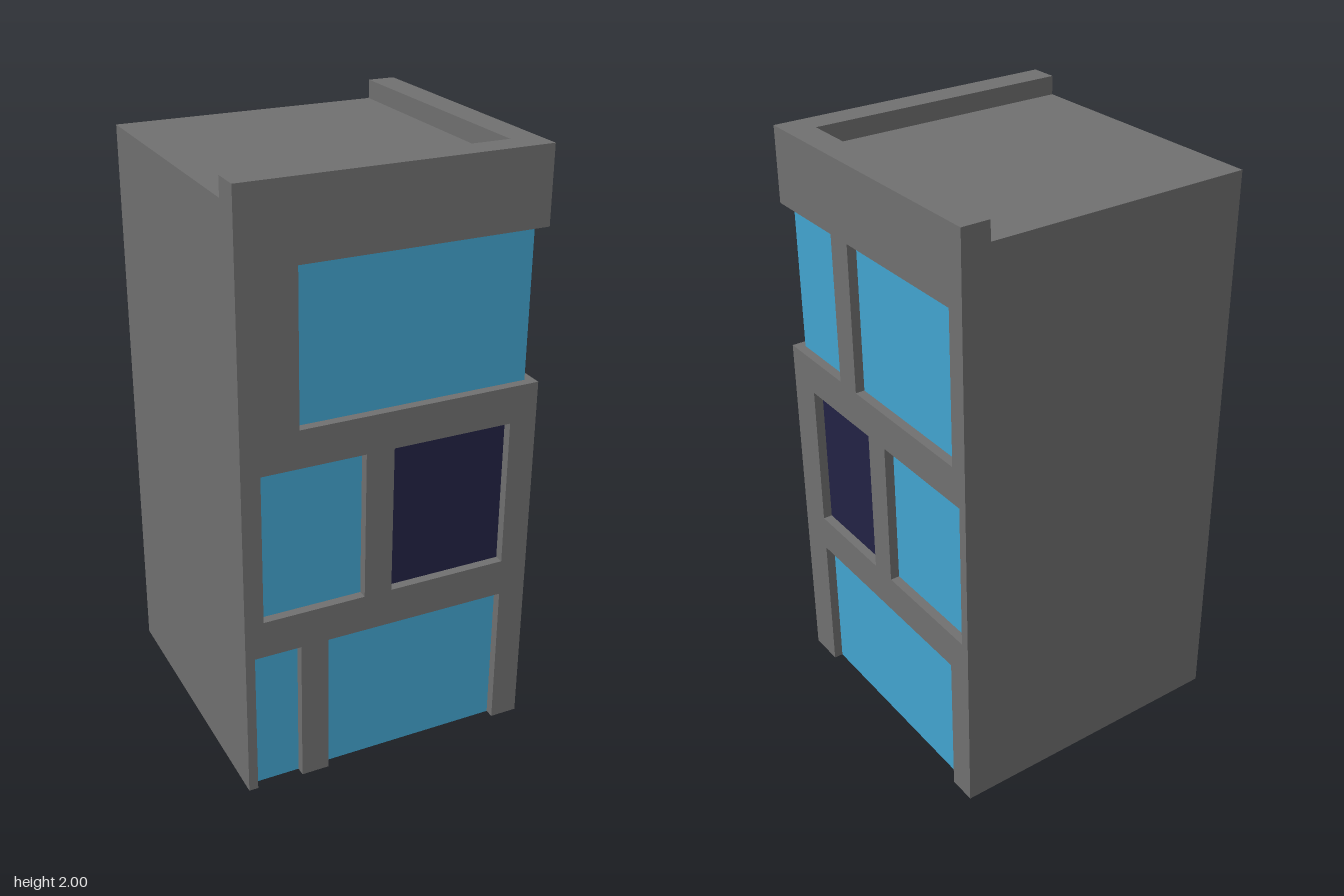
import * as THREE from 'three';

const material = (name, color) => {
  const m = new THREE.MeshStandardMaterial({ color });
  m.name = name;
  return m;
};

const IN = 0.455;    // inner plane of the facades
const GLASS = 0.469; // outer plane of the glazing
const OUT = 0.5;     // outer plane of the facades
const ROOF = 1.9375;

export function createModel() {
  const concrete = material('concrete grey', 0x707070);
  const blue = material('blue glass', 0x42a4cf);
  const dark = material('dark glass', 0x222244);
  const model = new THREE.Group();
  model.name = 'building';

  const box = (parent, name, mat, [x0, x1], [y0, y1], [z0, z1]) => {
    const mesh = new THREE.Mesh(new THREE.BoxGeometry(x1 - x0, y1 - y0, z1 - z0), mat);
    mesh.position.set((x0 + x1) / 2, (y0 + y1) / 2, (z0 + z1) / 2);
    mesh.name = name;
    parent.add(mesh);
  };

  // A facade: outline with open notches, holes for windows, panes set behind
  const facade = (name, outline, holes, panes) => {
    const group = new THREE.Group();
    group.name = name;
    const points = (list) => list.map(([x, y]) => new THREE.Vector2(x, y));
    const shape = new THREE.Shape(points(outline));
    for (const [a, b, y0, y1] of holes) {
      shape.holes.push(new THREE.Path(points([[a, y0], [a, y1], [b, y1], [b, y0]])));
    }
    const geo = new THREE.ExtrudeGeometry(shape, { depth: OUT - IN, bevelEnabled: false });
    geo.translate(0, 0, IN);
    const wall = new THREE.Mesh(geo, concrete);
    wall.name = name + 'Wall';
    group.add(wall);
    for (const [a, b, y0, y1, mat = blue] of panes) {
      box(group, 'windowPane', mat, [a, b], [y0, y1], [IN, GLASS]);
    }
    model.add(group);
    return group;
  };

  // Solid core with flat roof
  box(model, 'core', concrete, [-OUT, IN], [0, ROOF], [-OUT, IN]);

  // Front facade, open at the upper corner
  const frontHoles = [
    [-0.4375, -0.094, 0.625, 1.125],
    [0, 0.406, 0.625, 1.125, dark],
  ];
  facade('front', [
    [-OUT, 0], [-0.469, 0], [-0.469, 0.5], [-0.3125, 0.5], [-0.3125, 0],
    [-0.219, 0], [-0.219, 0.5], [0.406, 0.5], [0.406, 0], [IN, 0],
    [IN, 1.25], [-0.3125, 1.25], [-0.3125, 1.75], [IN, 1.75], [IN, 2], [-OUT, 2],
  ], frontHoles, [
    ...frontHoles,
    [-0.469, -0.3125, 0, 0.5],
    [-0.219, 0.406, 0, 0.5],
    [-0.3125, GLASS, 1.25, 1.75],
  ]);

  // Side facade, drawn facing forward and turned to +x
  const sideHoles = [
    [-0.375, -0.031, 0.625, 1.125, dark],
    [0.0625, 0.469, 0.625, 1.125],
    [-0.094, 0.4375, 1.25, 1.75],
  ];
  facade('side', [
    [-OUT, 0], [-0.375, 0], [-0.375, 0.5], [0.406, 0.5], [0.406, 0], [OUT, 0],
    [OUT, 2], [-OUT, 2], [-OUT, 1.75], [-0.1875, 1.75], [-0.1875, 1.25], [-OUT, 1.25],
  ], sideHoles, [
    ...sideHoles,
    [-0.375, 0.406, 0, 0.5],
    [-IN, -0.1875, 1.25, 1.75],
  ]).rotation.y = Math.PI / 2;

  // Inner thickness of the parapet
  box(model, 'frontParapet', concrete, [-OUT, IN], [ROOF, 2], [0.406, IN]);
  box(model, 'sideParapet', concrete, [0.406, IN], [ROOF, 2], [-OUT, 0.406]);

  return model;
}
